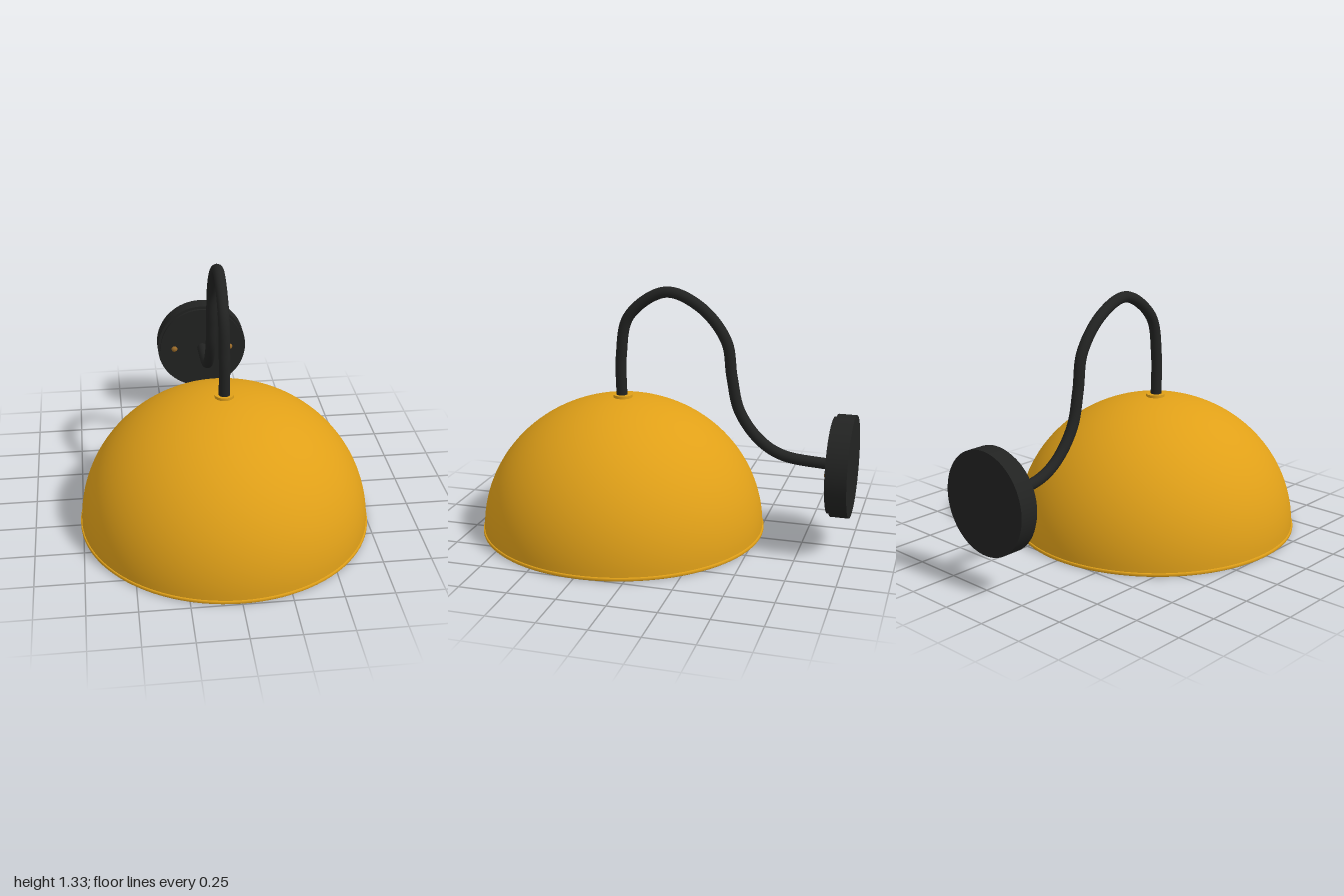
import * as THREE from 'three';

const DOME_Z = 0.235, PLATE_Y = 0.445;
const mat = (color) => new THREE.MeshStandardMaterial({ color });
const V = (x, y) => new THREE.Vector2(x, y);

function add(parent, name, geometry, material, x = 0, y = 0, z = 0) {
  const mesh = new THREE.Mesh(geometry, material);
  mesh.name = name;
  mesh.position.set(x, y, z);
  parent.add(mesh);
  return mesh;
}

// Quarter-ellipse profile from the rim up to the pole
function domeProfile(r, h, base, steps = 32) {
  return Array.from({ length: steps + 1 }, (_, i) => {
    const a = (i / steps) * Math.PI / 2;
    return V(i === steps ? 0 : r * Math.cos(a), base + (h - base) * Math.sin(a));
  });
}

export function createModel() {
  const model = new THREE.Group();
  model.name = 'wallLamp';
  const ochre = mat(0xe0a018), cream = mat(0xf5d76e), black = mat(0x222322);
  const brass = mat(0x9a6a28), glass = mat(0xf2e4cc);

  // Dome shade: outer shell, pale lining and rolled rim
  const shade = new THREE.Group();
  shade.name = 'shade';
  shade.position.z = DOME_Z;
  model.add(shade);
  add(shade, 'shadeOuter', new THREE.LatheGeometry(domeProfile(0.757, 0.722, 0.01), 96), ochre);
  add(shade, 'shadeLining', new THREE.LatheGeometry(domeProfile(0.745, 0.71, 0.005).reverse(), 96), cream);
  const rim = [V(0.744, 0.018), V(0.744, 0.002), V(0.748, 0), V(0.76, 0), V(0.764, 0.004),
    V(0.764, 0.014), V(0.76, 0.018), V(0.744, 0.018)];
  add(shade, 'shadeRim', new THREE.LatheGeometry(rim, 96), ochre);
  add(shade, 'collar', new THREE.CylinderGeometry(0.05, 0.05, 0.02, 32), ochre, 0, 0.725, 0);

  // Lamp holder and round bulb inside the shade
  add(shade, 'socket', new THREE.CylinderGeometry(0.055, 0.055, 0.2, 32), black, 0, 0.61, 0);
  add(shade, 'bulb', new THREE.SphereGeometry(0.117, 32, 24), glass, 0, 0.41, 0);

  // Swan-neck arm, as [z, y] points from the shade to the wall
  const path = [[0.24, 0.715], [0.241, 0.95], [0.198, 1.16], [0, 1.297], [-0.187, 1.228],
    [-0.325, 1.06], [-0.358, 0.87], [-0.4, 0.695], [-0.505, 0.55], [-0.63, 0.475], [-0.9, 0.445]];
  const curve = new THREE.CatmullRomCurve3(path.map(([z, y]) => new THREE.Vector3(0, y, z)));
  add(model, 'arm', new THREE.TubeGeometry(curve, 120, 0.029, 20, false), black);

  // Round wall plate with a slightly smaller front disc
  const disc = (name, r, back, front) => {
    const m = add(model, name, new THREE.CylinderGeometry(r, r, front - back, 64), black,
      0, PLATE_Y, (back + front) / 2);
    m.rotation.x = Math.PI / 2;
  };
  disc('wallPlate', 0.265, -1, -0.905);
  disc('wallPlateFace', 0.25, -0.91, -0.888);

  // Pair of fixing screws
  for (const side of [-1, 1]) {
    const screw = add(model, 'screw', new THREE.SphereGeometry(0.018, 20, 8, 0, Math.PI * 2, 0, Math.PI / 2),
      brass, side * 0.167, PLATE_Y, -0.889);
    screw.rotation.x = Math.PI / 2;
    screw.scale.y = 0.8;
  }
  return model;
}
